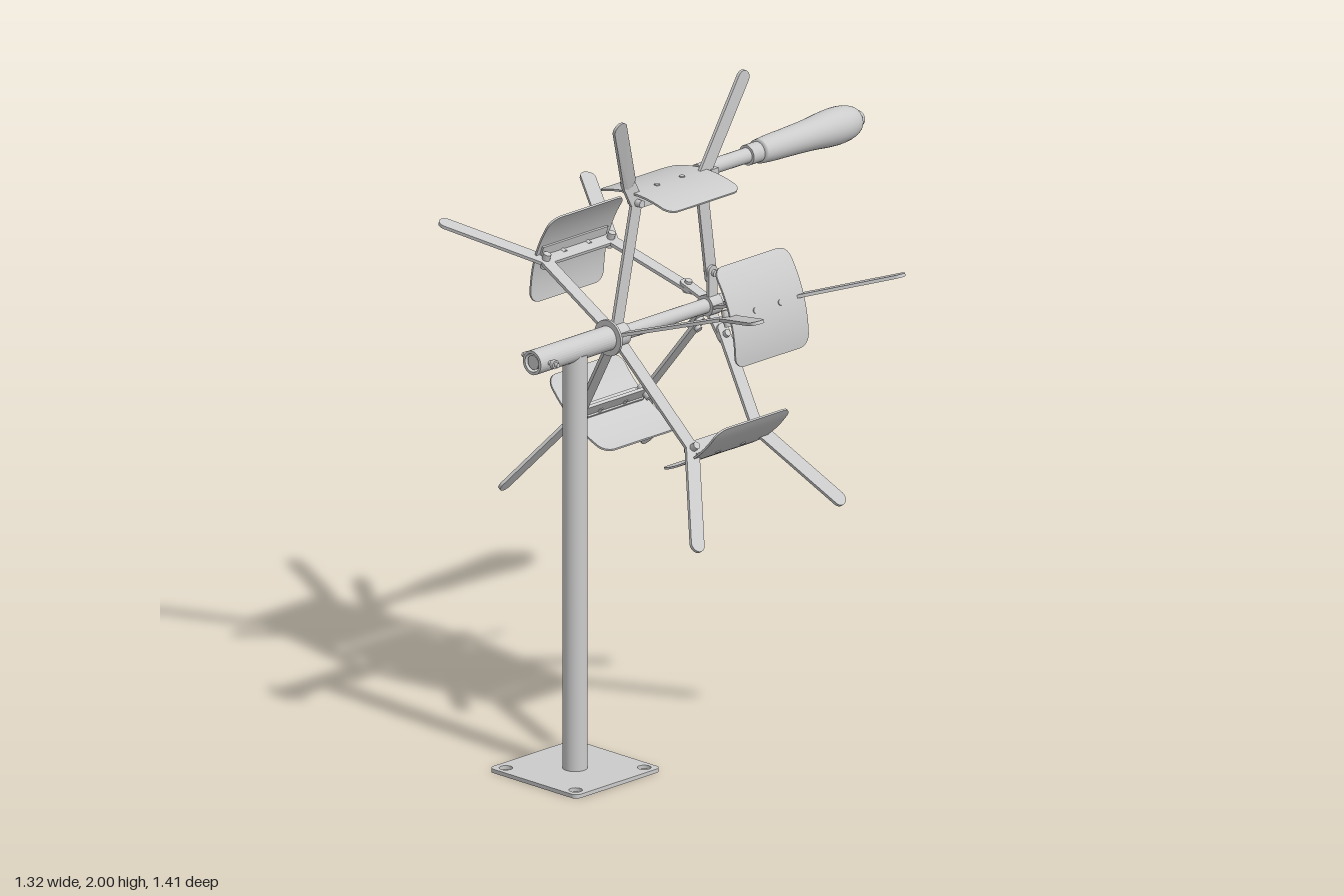
import * as THREE from 'three';

const grey = new THREE.MeshStandardMaterial({ color: 0xcccccc });
const sheet = new THREE.MeshStandardMaterial({ color: 0xcccccc, side: THREE.DoubleSide });
const AXIS = 1.307;

function add(parent, name, geometry, x = 0, y = 0, z = 0, material = grey) {
  const mesh = new THREE.Mesh(geometry, material);
  mesh.name = name;
  mesh.position.set(x, y, z);
  parent.add(mesh);
  return mesh;
}

// Cylinder along the given axis
function rod(radius, length, axis = 'z', sides = 24) {
  const g = new THREE.CylinderGeometry(radius, radius, length, sides);
  if (axis === 'z') g.rotateX(Math.PI / 2);
  if (axis === 'x') g.rotateZ(Math.PI / 2);
  return g;
}

// Flat bar with round ends between two [z, y] points, thin along x
function strip(a, b, width, thick = 0.01) {
  const r = width / 2;
  const len = Math.hypot(b[0] - a[0], b[1] - a[1]);
  const s = new THREE.Shape();
  s.absarc(len, 0, r, -Math.PI / 2, Math.PI / 2, false);
  s.absarc(0, 0, r, Math.PI / 2, Math.PI * 1.5, false);
  const g = new THREE.ExtrudeGeometry(s, { depth: thick, bevelEnabled: false, curveSegments: 10 });
  g.translate(0, 0, -thick / 2);
  g.rotateZ(Math.atan2(b[1] - a[1], b[0] - a[0]));
  g.translate(a[0], a[1], 0);
  return g.rotateY(-Math.PI / 2);
}

// Rectangle with rounded corners and round holes
function platePath(w, h, r, holes, holeRadius) {
  const s = new THREE.Shape();
  const x = w / 2 - r, y = h / 2 - r;
  s.absarc(x, y, r, 0, Math.PI / 2);
  s.absarc(-x, y, r, Math.PI / 2, Math.PI);
  s.absarc(-x, -y, r, Math.PI, Math.PI * 1.5);
  s.absarc(x, -y, r, Math.PI * 1.5, Math.PI * 2);
  for (const [hx, hy] of holes) s.holes.push(new THREE.Path().absarc(hx, hy, holeRadius, 0, Math.PI * 2, true));
  return s;
}

// Curved paddle: a grid on a cylinder whose corner rows are narrowed to round them
function paddleGeometry() {
  const R = 0.42, half = 0.365, len = 0.305, corner = 0.035;
  const g = new THREE.BoxGeometry(2, 0.006, len, 20, 1, 24);
  const p = g.attributes.position;
  for (let i = 0; i < p.count; i++) {
    // rows are packed towards the ends, where the corners curve
    const z = Math.sin(p.getZ(i) / len * Math.PI) * len / 2;
    const over = Math.max(0, Math.abs(z) - (len / 2 - corner));
    const inset = corner - Math.sqrt(Math.max(0, corner * corner - over * over));
    const a = p.getX(i) * (half - inset / R);
    const r = R + p.getY(i);
    p.setXYZ(i, r * Math.sin(a), r * Math.cos(a), z);
  }
  g.computeVertexNormals();
  return g;
}

function buildStand(group) {
  const stand = new THREE.Group();
  stand.name = 'stand';
  group.add(stand);
  const holes = [[-0.143, -0.143], [0.143, -0.143], [-0.143, 0.143], [0.143, 0.143]];
  const base = new THREE.ExtrudeGeometry(platePath(0.36, 0.356, 0.02, holes, 0.02), { depth: 0.012, bevelEnabled: false });
  add(stand, 'basePlate', base.rotateX(-Math.PI / 2), 0, 0, 0.525);
  add(stand, 'column', rod(0.037, 1.285, 'y', 32), 0, 0.65, 0.525);

  // Open bearing tube with its axle, washer and cross pin
  const tube = [[0.028, -0.16], [0.037, -0.16], [0.037, 0.16], [0.028, 0.16], [0.028, -0.16]]
    .map(([x, y]) => new THREE.Vector2(x, y));
  const lathe = new THREE.LatheGeometry(tube, 32).rotateX(Math.PI / 2).toNonIndexed();
  lathe.computeVertexNormals();
  add(stand, 'bearingTube', lathe, 0, AXIS, 0.545, sheet);
  add(stand, 'axle', rod(0.022, 0.79), 0, AXIS, 0.305);
  add(stand, 'washer', rod(0.055, 0.008), 0, AXIS, 0.386);
  add(stand, 'crossPin', rod(0.007, 0.145, 'x', 12), 0, AXIS, 0.668);
  for (const x of [-0.055, 0.055]) add(stand, 'pinNut', rod(0.014, 0.014, 'x', 6), x, AXIS, 0.668);
}

function buildSpoke(index) {
  const spoke = new THREE.Group();
  spoke.name = 'spoke';
  const frontElbow = [0.27, 0.39], backElbow = [0.0, 0.39];
  const frontTip = [0.415, 0.667], backTip = [-0.175, 0.667];
  add(spoke, 'frontArm', strip([0.35, 0.03], frontElbow, 0.042));
  add(spoke, 'backArm', strip([-0.042, 0.085], backElbow, 0.042));
  add(spoke, 'crossBar', strip(backElbow, frontElbow, 0.04));
  add(spoke, 'backFinger', strip(backElbow, backTip, 0.047));

  // The top front finger is bent sideways part of the way along
  if (index === 0) {
    const bend = [0.308, 0.463];
    add(spoke, 'frontFingerRoot', strip(frontElbow, bend, 0.047));
    const g = strip(bend, frontTip, 0.047);
    const p = g.attributes.position;
    for (let i = 0; i < p.count; i++) p.setX(i, p.getX(i) + Math.max(0, p.getY(i) - 0.445) * 0.34);
    g.computeVertexNormals();
    add(spoke, 'bentFinger', g);
  } else add(spoke, 'frontFinger', strip(frontElbow, frontTip, 0.047));

  // Paddle on its angle bracket, with two fixings
  add(spoke, 'paddle', paddleGeometry(), 0, 0, 0.132, sheet);
  add(spoke, 'bracketFoot', new THREE.BoxGeometry(0.045, 0.007, 0.27), 0.012, 0.413, 0.135);
  for (const z of [0.078, 0.182]) add(spoke, 'paddleScrew', rod(0.009, 0.03, 'y', 12), 0, 0.411, z);
  for (const z of [0.0, 0.27]) add(spoke, 'elbowBolt', rod(0.012, 0.05, 'x', 8), 0, 0.39, z);

  // Tab on the rear hub
  add(spoke, 'hubTab', strip([-0.038, 0.02], [-0.038, 0.105], 0.036), 0.009);
  add(spoke, 'tabBolt', rod(0.011, 0.04, 'x', 8), 0.003, 0.1, -0.04);
  spoke.rotation.z = index * Math.PI * 2 / 5;
  return spoke;
}

function buildHandle(group) {
  const handle = new THREE.Group();
  handle.name = 'crankHandle';
  handle.position.set(-0.045, 1.708, 0);
  group.add(handle);
  add(handle, 'handleRod', rod(0.023, 0.21), 0, 0, -0.135);
  add(handle, 'mountBlock', new THREE.BoxGeometry(0.07, 0.035, 0.03), 0.02, 0, -0.05);
  add(handle, 'lockPin', rod(0.007, 0.075, 'y', 10), 0, -0.04, -0.056);
  add(handle, 'ferrule', rod(0.031, 0.05), 0, 0, -0.262);
  // Turned grip
  const profile = [[0.036, 0.283], [0.04, 0.33], [0.042, 0.38], [0.044, 0.43], [0.048, 0.5], [0.054, 0.56],
    [0.056, 0.61], [0.052, 0.65], [0.042, 0.68], [0.03, 0.694]].map(([r, y]) => new THREE.Vector2(r, y));
  const curve = [new THREE.Vector2(0, 0.283), ...new THREE.SplineCurve(profile).getPoints(30), new THREE.Vector2(0, 0.696)];
  add(handle, 'grip', new THREE.LatheGeometry(curve, 32).rotateX(-Math.PI / 2));
  add(handle, 'endCap', rod(0.022, 0.03), 0, 0, -0.695);
}

export function createModel() {
  const group = new THREE.Group();
  group.name = 'paddleWheel';
  buildStand(group);

  const wheel = new THREE.Group();
  wheel.name = 'wheel';
  wheel.position.y = AXIS;
  group.add(wheel);
  for (let i = 0; i < 5; i++) wheel.add(buildSpoke(i));
  add(wheel, 'frontHub', rod(0.035, 0.05), 0, 0, 0.35);
  add(wheel, 'rearHub', rod(0.032, 0.045), 0, 0, -0.04);

  buildHandle(group);
  return group;
}
